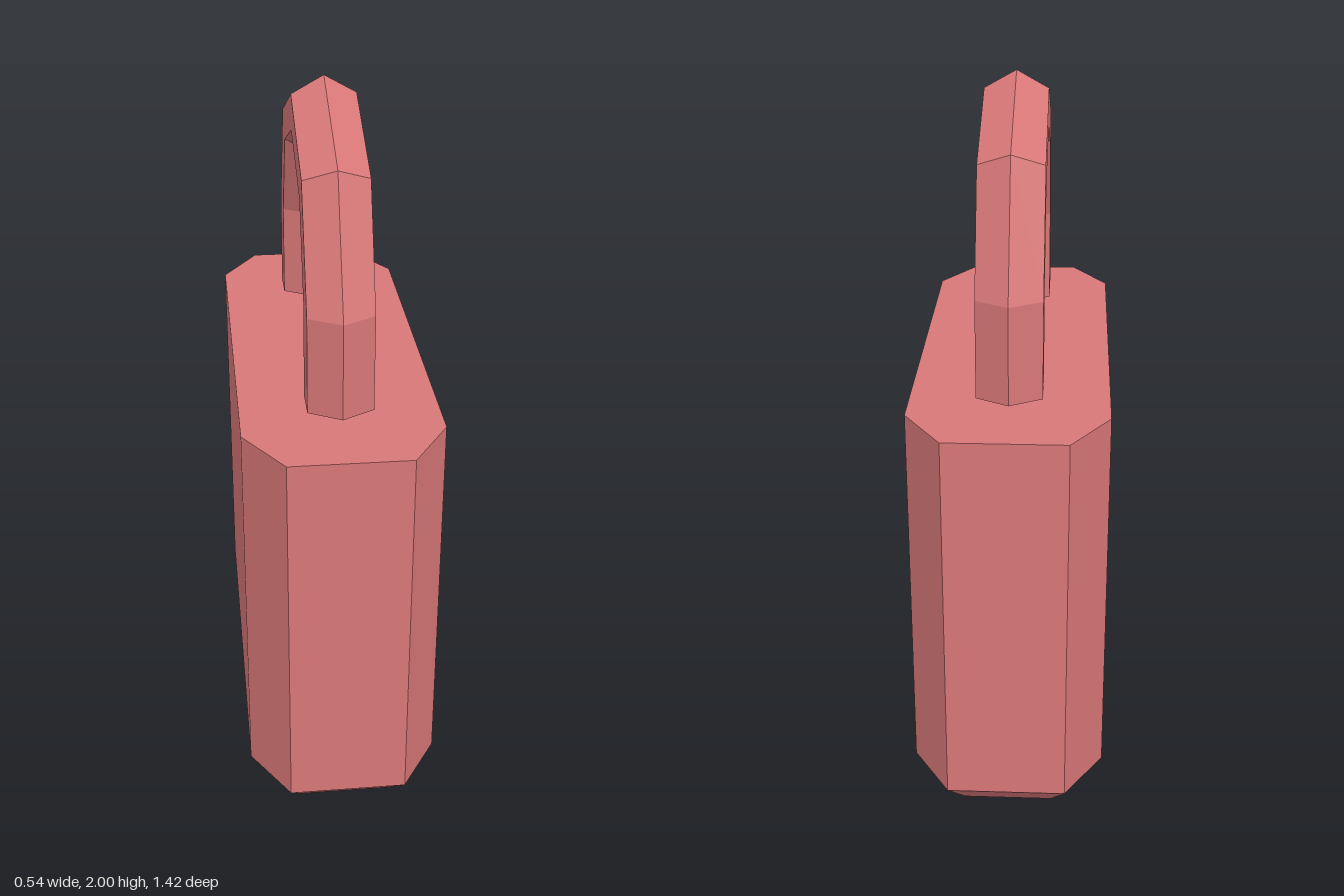
import * as THREE from 'three';

// Skin a list of equal-length rings (counter-clockwise about the path) and cap both ends
function loft(rings) {
  const n = rings[0].length, last = (rings.length - 1) * n, index = [];
  for (let i = 0; i < last; i += n) {
    for (let j = 0; j < n; j++) {
      const k = (j + 1) % n;
      index.push(i + j, i + k, i + n + j, i + k, i + n + k, i + n + j);
    }
  }
  for (let j = 1; j < n - 1; j++) {
    index.push(0, j + 1, j, last, last + j, last + j + 1);
  }
  const indexed = new THREE.BufferGeometry();
  indexed.setAttribute('position', new THREE.Float32BufferAttribute(rings.flat(2), 3));
  indexed.setIndex(index);
  const geometry = indexed.toNonIndexed();
  geometry.computeVertexNormals();
  return geometry;
}

// Rectangle with cut corners: half sizes x, z and the corner ends cx, cz
function octagon(y, x, z, cx, cz) {
  return [[-cx, z], [cx, z], [x, cz], [x, -cz], [cx, -z], [-cx, -z], [-x, -cz], [-x, cz]]
    .map(([px, pz]) => [px, y, pz]);
}

// Hexagonal bar section centred at (z, y), with ridge direction (dz, dy)
function hexagon([z, y, dz, dy]) {
  const w = 0.09;
  return [[0, 1], [w, 0.5], [w, -0.5], [0, -1], [-w, -0.5], [-w, 0.5]]
    .map(([x, t]) => [x, y + dy * t, z + dz * t]);
}

export function createModel() {
  const group = new THREE.Group();
  group.name = 'padlock';
  const material = new THREE.MeshStandardMaterial({ color: 0xd87777, flatShading: true });
  const add = (name, geometry) => {
    const mesh = new THREE.Mesh(geometry, material);
    mesh.name = name;
    group.add(mesh);
  };

  // Body with a chamfered base
  add('body', loft([
    octagon(0, 0.205, 0.6, 0.125, 0.475),
    octagon(0.11, 0.272, 0.71, 0.165, 0.545),
    octagon(1.2, 0.272, 0.71, 0.165, 0.545),
  ]));

  // Shackle: front leg up to the crown, then mirrored down to the back leg
  const half = [
    [0.41, 1.215, 0.1, 0],
    [0.41, 1.49, 0.1, 0],
    [0.29, 1.78, 0.07, 0.07],
  ];
  const mirrored = half.map(([z, y, dz, dy]) => [-z, y, -dz, dy]).reverse();
  add('shackle', loft([...half, [0, 1.9, 0, 0.1], ...mirrored].map(hexagon)));

  return group;
}
